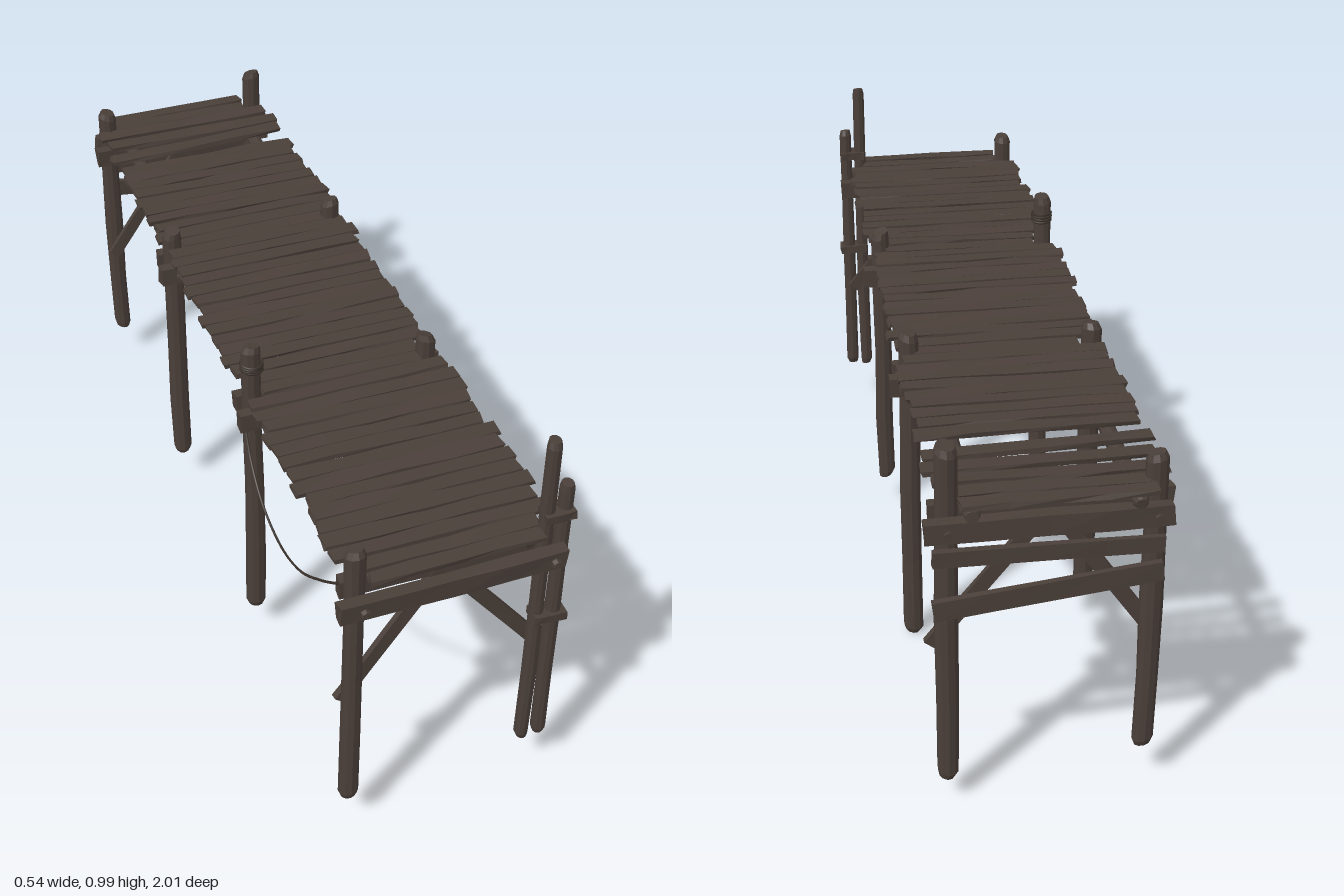
import * as THREE from 'three';

const wood = new THREE.MeshStandardMaterial({ color: 0x4a3f39 });
wood.name = 'weathered wood';
wood.flatShading = true;
const rope = new THREE.MeshStandardMaterial({ color: 0x3a312b });
rope.name = 'dark rope';

export function createModel() {
  const pier = new THREE.Group();
  pier.name = 'pier';

  let seed = 7;
  const rnd = () => (seed = (seed * 16807) % 2147483647) / 2147483647;
  const jit = (a) => (rnd() * 2 - 1) * a;

  function add(name, geo, mat = wood) {
    const mesh = new THREE.Mesh(geo, mat);
    mesh.name = name;
    pier.add(mesh);
    return mesh;
  }

  // Point a mesh's local y axis from a to b
  function span(mesh, a, b) {
    const dir = new THREE.Vector3().subVectors(b, a).normalize();
    mesh.quaternion.setFromUnitVectors(new THREE.Vector3(0, 1, 0), dir);
    mesh.position.addVectors(a, b).multiplyScalar(0.5);
    return mesh;
  }

  // Rough log with rounded-off, slightly slanted ends
  function log(name, a, b, r, wobble = 0.002) {
    const len = a.distanceTo(b), h = len / 2, sides = 10;
    const ys = [-h, -h + 0.015, -h * 0.5, 0, h * 0.5, h - 0.015, h];
    const profile = [new THREE.Vector2(0, -h)];
    ys.forEach((y, i) => profile.push(new THREE.Vector2(i === 0 || i === 6 ? r * 0.75 : r, y)));
    profile.push(new THREE.Vector2(0, h));
    const geo = new THREE.LatheGeometry(profile, sides);
    const shift = profile.map(() => [jit(wobble), jit(wobble), 1 + jit(0.06)]);
    const tilt = [jit(0.25), jit(0.25)];
    const p = geo.attributes.position;
    for (let i = 0; i < p.count; i++) {
      const [dx, dz, s] = shift[i % profile.length];
      const x = p.getX(i) * s, z = p.getZ(i) * s, y = p.getY(i);
      const slant = Math.abs(y) > h - 0.02 ? x * tilt[0] + z * tilt[1] : 0;
      p.setXYZ(i, x + dx, y + slant, z + dz);
    }
    geo.computeVertexNormals();
    return span(add(name, geo), a, b);
  }

  // Sawn board along x with uneven edges and ends
  function board(name, w, h, d, rough = 0.003) {
    const geo = new THREE.BoxGeometry(w, h, d, 4, 1, 1);
    const p = geo.attributes.position;
    const moved = new Map();
    for (let i = 0; i < p.count; i++) {
      const key = [p.getX(i), p.getY(i), p.getZ(i)].map((v) => v.toFixed(4)).join();
      if (!moved.has(key)) moved.set(key, [jit(rough), jit(rough * 0.4), jit(rough * 0.7)]);
      const m = moved.get(key);
      p.setXYZ(i, p.getX(i) + m[0], p.getY(i) + m[1], p.getZ(i) + m[2]);
    }
    geo.computeVertexNormals();
    return add(name, geo);
  }

  // Board in the xy plane between two points
  function brace(name, x0, y0, x1, y1, z, h, d) {
    const m = board(name, Math.hypot(x1 - x0, y1 - y0), h, d, 0.002);
    m.position.set((x0 + x1) / 2, (y0 + y1) / 2, z);
    m.rotation.z = Math.atan2(y1 - y0, x1 - x0);
  }

  const V = (x, y, z) => new THREE.Vector3(x, y, z);

  // Posts: x, z, bottom, top, radius
  [
    [-0.22, 0.95, 0.09, 0.83, 0.022], [0.2, 0.95, 0.12, 0.99, 0.017], [0.24, 0.95, 0.125, 0.868, 0.017],
    [-0.218, 0.315, 0.085, 0.882, 0.023], [0.205, 0.315, 0.09, 0.81, 0.023],
    [-0.22, -0.305, 0.1, 0.81, 0.024], [0.205, -0.305, 0.004, 0.815, 0.024],
    [-0.22, -0.93, 0.1, 0.82, 0.024], [0.205, -0.93, 0.065, 0.87, 0.024],
  ].forEach(([x, z, y0, y1, r]) => log('post', V(x, y0, z), V(x, y1, z), r));

  // Paired cross beams clamped around each row of posts, with bolts
  [0.95, 0.31, -0.31, -0.935].forEach((z) => {
    [-1, 1].forEach((s) => {
      const beam = board('crossBeam', 0.5, 0.046, 0.028);
      beam.position.set(-0.005 + s * (z > 0.9 ? -0.013 : -0.008), 0.702, z + s * 0.036);
      [-0.215, 0.205].forEach((x) => {
        const bolt = add('bolt', new THREE.CylinderGeometry(0.009, 0.011, 0.012, 6));
        bolt.rotation.x = Math.PI / 2;
        bolt.position.set(x, 0.7, z + s * 0.054);
      });
    });
  });

  // Stringer logs, overlapping at the inner post rows
  [[0.97, 0.25, -0.175, 0.16], [0.37, -0.37, -0.141, 0.12], [-0.25, -0.995, -0.175, 0.16]]
    .forEach(([z0, z1, xa, xb]) => [xa, xb].forEach((x) =>
      log('stringer', V(x, 0.741, z1), V(x, 0.741, z0), 0.0175, 0.001)));

  // Diagonal braces on both end rows
  [0.922, -0.9].forEach((z) => {
    brace('diagonalBrace', -0.235, 0.375, -0.015, 0.695, z, 0.032, 0.014);
    brace('diagonalBrace', 0.235, 0.385, -0.01, 0.695, z, 0.032, 0.014);
  });

  // Rails nailed across the back row
  brace('backRail', -0.235, 0.626, 0.235, 0.632, -0.962, 0.036, 0.014);
  brace('backRail', -0.235, 0.562, 0.235, 0.508, -0.962, 0.045, 0.014);

  // Deck planks, notched short between the posts
  function plank(z, skew = jit(0.012), width = 0.038 + jit(0.003)) {
    const short = [0.95, 0.31, -0.31, -0.93].some((c) => Math.abs(z - c) < 0.035) || Math.abs(z) > 0.93;
    const w = short ? 0.385 + jit(0.01) : 0.475 + jit(0.012);
    const m = board('deckPlank', w, 0.011, width, 0.004);
    m.position.set(-0.006 + jit(0.008), 0.764 + jit(0.002), z);
    m.rotation.set(jit(0.04), skew, jit(0.004));
  }
  [-0.977, -0.935, -0.89, -0.835].forEach((z) => plank(z));
  plank(-0.775, 0.055);
  const first = -0.692, last = 0.975, count = 40;
  for (let i = 0; i < count; i++) plank(first + ((last - first) * i) / (count - 1));

  // Splints holding the doubled front post together
  [[0.222, 0.795, 0.065, 0.02], [0.227, 0.505, 0.076, -0.06]].forEach(([x, y, w, tilt]) => {
    const m = board('postSplint', w, 0.021, 0.046, 0.002);
    m.position.set(x, y, 0.952);
    m.rotation.z = tilt;
  });

  // Slack rope between two posts
  const line = new THREE.CatmullRomCurve3([
    V(-0.243, 0.725, 0.93), V(-0.246, 0.645, 0.83), V(-0.248, 0.565, 0.71), V(-0.248, 0.53, 0.59),
    V(-0.248, 0.55, 0.47), V(-0.246, 0.61, 0.385), V(-0.243, 0.69, 0.33),
  ]);
  add('slackRope', new THREE.TubeGeometry(line, 40, 0.0028, 6), rope);

  // Rope wound around the mooring post
  [0.818, 0.824, 0.83, 0.836].forEach((y) => {
    const ring = add('ropeWrap', new THREE.TorusGeometry(0.0245, 0.003, 6, 18), rope);
    ring.position.set(-0.218, y, 0.315);
    ring.rotation.set(Math.PI / 2 + jit(0.12), jit(0.12), 0);
  });

  return pier;
}
